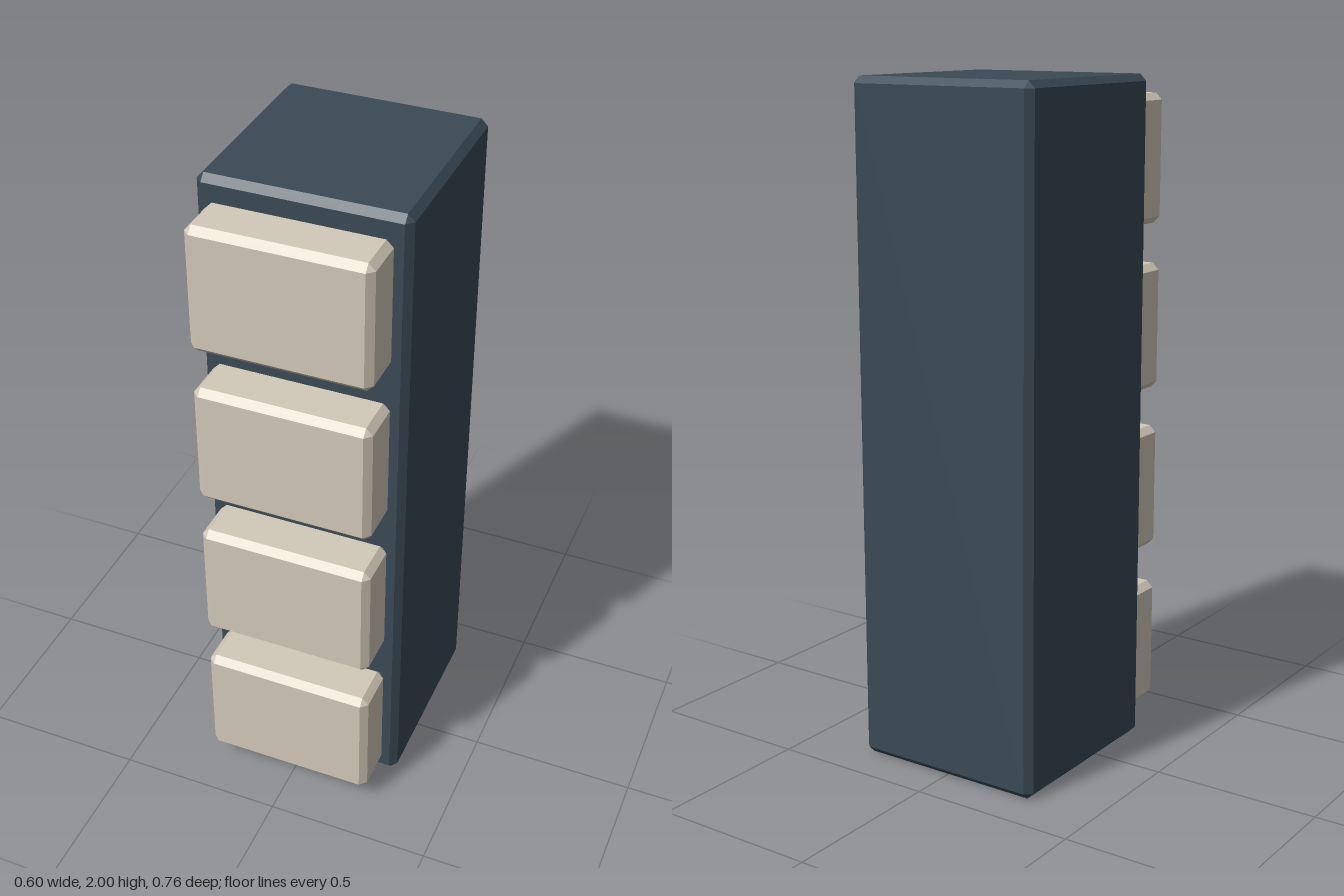
import * as THREE from 'three';
import { ConvexGeometry } from 'three/addons/geometries/ConvexGeometry.js';

// Box with 45-degree chamfers on every edge and small triangular corners
function chamferedBox(width, height, depth, chamfer) {
  const half = [width / 2, height / 2, depth / 2];
  const points = [];
  for (const sx of [-1, 1]) for (const sy of [-1, 1]) for (const sz of [-1, 1]) {
    for (let axis = 0; axis < 3; axis++) {
      const c = half.map((h, i) => (i === axis ? h : h - chamfer));
      points.push(new THREE.Vector3(sx * c[0], sy * c[1], sz * c[2]));
    }
  }
  return new ConvexGeometry(points);
}

export function createModel() {
  const model = new THREE.Group();
  model.name = 'tower';
  const dark = new THREE.MeshStandardMaterial({ color: 0x3a4a56, flatShading: true });
  const cream = new THREE.MeshStandardMaterial({ color: 0xd2c9b8, flatShading: true });

  // Tall body
  const body = new THREE.Mesh(chamferedBox(0.6, 2, 0.6, 0.02), dark);
  body.name = 'body';
  body.position.set(0, 1, -0.08);
  model.add(body);

  // Four blocks stacked up the front
  const blockGeometry = chamferedBox(0.52, 0.38, 0.16, 0.02);
  for (let i = 0; i < 4; i++) {
    const block = new THREE.Mesh(blockGeometry, cream);
    block.name = `frontBlock${i + 1}`;
    block.position.set(0, 0.25 + i * 0.5, 0.3);
    model.add(block);
  }
  return model;
}
